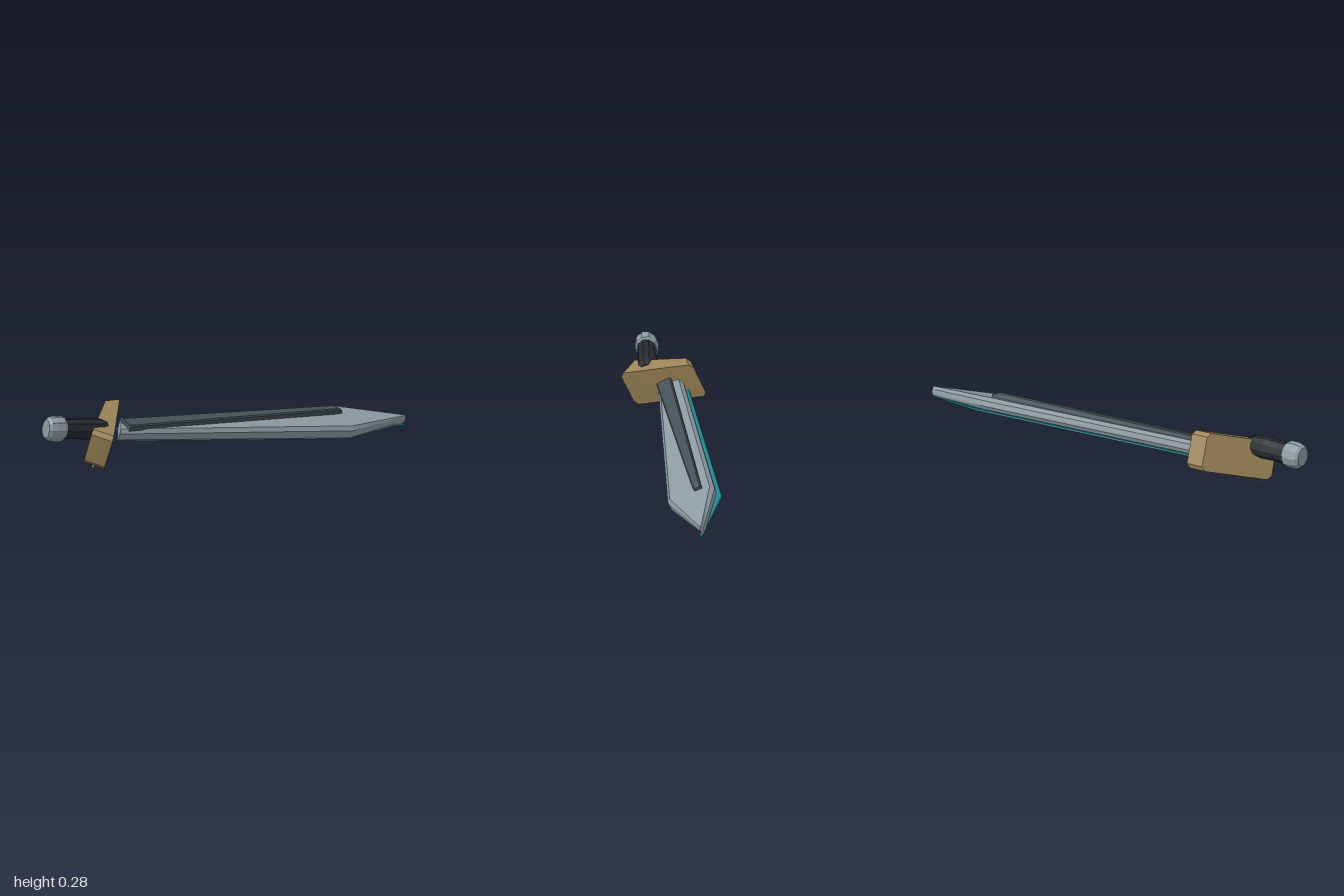
import * as THREE from 'three';

const mat = (color) => new THREE.MeshStandardMaterial({ color, flatShading: true, side: THREE.DoubleSide });
const steel = mat(0x8c9aa2), darkSteel = mat(0x465157), teal = mat(0x22808c);
const wood = mat(0x9c8458), leather = mat(0x262b2e);
const V = (p) => new THREE.Vector3(...p);

// Replaces each corner of a quad by two points, cutting the corner off
function chamfer(quad, size) {
  const pts = quad.map(V);
  return pts.flatMap((p, i) => [pts[(i + 3) % 4], pts[(i + 1) % 4]].map((q) =>
    p.clone().add(q.clone().sub(p).setLength(Math.min(size, q.distanceTo(p) * 0.35)))));
}

// Closed solid through matching quads, wound so that faces point outwards
function loft(name, material, quads, size) {
  const loops = quads.map((q) => chamfer(q, size)), n = loops[0].length, tris = [];
  for (let s = 0; s < loops.length - 1; s++) {
    for (let i = 0; i < n; i++) {
      const j = (i + 1) % n, a = loops[s], b = loops[s + 1];
      tris.push([a[i], a[j], b[j]], [a[i], b[j], b[i]]);
    }
  }
  const first = loops[0], last = loops[loops.length - 1];
  for (let i = 1; i < n - 1; i++) {
    tris.push([first[0], first[i + 1], first[i]], [last[0], last[i], last[i + 1]]);
  }
  const c = first[0];
  const volume = tris.reduce((sum, [p, q, r]) => sum + p.clone().sub(c)
    .dot(q.clone().sub(c).cross(r.clone().sub(c))), 0);
  if (volume < 0) tris.forEach((t) => t.reverse());
  const geometry = new THREE.BufferGeometry().setFromPoints(tris.flat());
  geometry.computeVertexNormals();
  const mesh = new THREE.Mesh(geometry, material);
  mesh.name = name;
  return mesh;
}

// Quad with a lower edge from p to q, raised by h across the tilted blade
function slab(p, q, h) {
  const up = ([x, y, z]) => [x + 0.39 * h, y + 0.92 * h, z];
  return [p, q, up(q), up(p)];
}

function turned(name, material, profile) {
  const pts = profile.map(([r, y]) => new THREE.Vector2(r, y));
  const mesh = new THREE.Mesh(new THREE.LatheGeometry(pts, 10), material);
  mesh.name = name;
  return mesh;
}

export function createModel() {
  const model = new THREE.Group();
  model.name = 'sword';

  // Blade: base, widest part, tip (left bottom, right bottom, right top, left top)
  model.add(loft('blade', steel, [
    [[-0.127, 0.147, 0.5], [-0.03, 0.1, 0.58], [0, 0.162, 0.58], [-0.105, 0.208, 0.5]],
    [[-0.015, 0.098, -0.68], [0.187, 0.01, -0.63], [0.222, 0.078, -0.63], [0.008, 0.155, -0.68]],
    [[0.118, 0.05, -1], [0.13, 0.045, -1], [0.146, 0.084, -1], [0.134, 0.089, -1]],
  ], 0.018));

  // Raised spine on the upper face
  model.add(loft('spine', darkSteel, [
    slab([-0.07, 0.178, 0.53], [0, 0.15, 0.53], 0.035),
    slab([0.05, 0.133, -0.62], [0.09, 0.118, -0.62], 0.035),
    slab([0.053, 0.13, -0.66], [0.087, 0.115, -0.66], 0.024),
  ], 0.006));

  // Coloured cutting edge under the left side
  model.add(loft('cuttingEdge', teal, [
    slab([-0.143, 0.142, 0.5], [-0.1, 0.124, 0.5], 0.012),
    slab([-0.034, 0.096, -0.7], [0.01, 0.077, -0.69], 0.012),
    slab([0.127, 0.037, -1], [0.14, 0.032, -0.985], 0.008),
  ], 0.002));

  // Slanted guard, front then back
  model.add(loft('guard', wood, [
    [[-0.225, 0.125, 0.55], [0, 0.03, 0.805], [0.07, 0.195, 0.805], [-0.15, 0.29, 0.55]],
    [[-0.22, 0.125, 0.47], [0.065, -0.002, 0.735], [0.142, 0.163, 0.735], [-0.147, 0.29, 0.47]],
  ], 0.02));

  // Thin trim below the guard
  model.add(loft('guardTrim', steel, [
    slab([-0.19, 0.097, 0.57], [-0.185, 0.095, 0.56], 0.004),
    slab([0.01, 0.008, 0.765], [0.018, 0.006, 0.755], 0.004),
  ], 0.001));

  // Grip and pommel share one tilted axis and an oval section
  const hilt = new THREE.Group();
  hilt.name = 'hilt';
  const axis = V([-0.208, 0.07, 0.975]).normalize();
  const side = axis.clone().cross(V([0.39, 0.92, 0])).normalize();
  const major = side.clone().cross(axis);
  hilt.quaternion.setFromRotationMatrix(new THREE.Matrix4().makeBasis(side, axis, major));
  hilt.position.set(0.02, 0.187, 0.685);
  hilt.scale.set(0.86, 1, 1);
  hilt.add(turned('grip', leather,
    [[0, 0], [0.035, 0], [0.049, 0.03], [0.053, 0.1], [0.05, 0.18], [0.05, 0.23], [0, 0.23]]));
  hilt.add(turned('pommel', steel,
    [[0, 0.222], [0.055, 0.222], [0.063, 0.232], [0.064, 0.275], [0.058, 0.3], [0.046, 0.313], [0, 0.313]]));
  model.add(hilt);

  return model;
}
